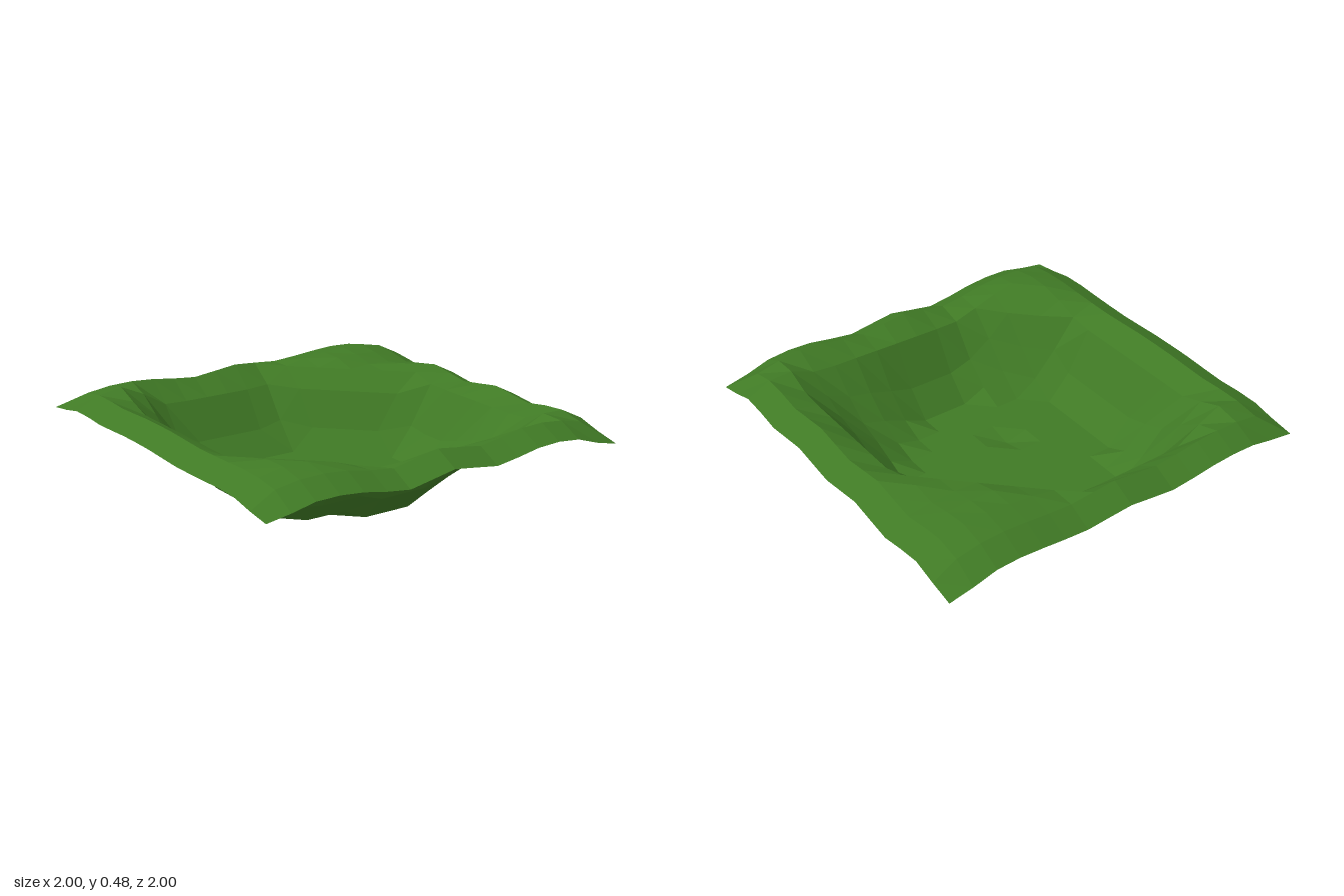
import * as THREE from 'three';

const N = 16; // cells per side

// Bowl outlines (x, z): foot of the wall and top of the wall
const FOOT = [
  [-0.5, -0.25], [-0.375, -0.375], [-0.375, -0.5], [0.125, -0.5], [0.5, -0.125], [0.5, 0.125],
  [0.375, 0.25], [0.25, 0.375], [0.125, 0.5], [-0.125, 0.5], [-0.25, 0.375], [-0.375, 0.375],
  [-0.5, 0.25],
];
const LIP = [
  [-0.75, -0.52], [-0.54, -0.78], [0.13, -0.78], [0.69, -0.22], [0.75, -0.12], [0.75, 0.6],
  [0.6, 0.75], [-0.25, 0.76], [-0.4, 0.7], [-0.7, 0.41], [-0.75, 0.32],
];

// Border heights, every 0.25 from -1 to 1, joined by a smooth curve
const border = (list) => new THREE.SplineCurve(list.map((h, i) => new THREE.Vector2(i / 4 - 1, h)));
const FRONT = border([0.35, 0.4, 0.385, 0.345, 0.39, 0.355, 0.395, 0.395, 0.32]);
const BACK = border([0.35, 0.395, 0.385, 0.355, 0.385, 0.365, 0.385, 0.395, 0.33]);
const LEFT = border([0.33, 0.395, 0.35, 0.39, 0.355, 0.39, 0.36, 0.395, 0.32]);
const RIGHT = border([0.35, 0.395, 0.385, 0.395, 0.395, 0.385, 0.39, 0.395, 0.35]);

const sample = (curve, s) => curve.getPoint((s + 1) / 2).y;

// Signed distance to a polygon, negative inside
function distance(poly, x, z) {
  let best = Infinity;
  let inside = false;
  poly.forEach(([ax, az], i) => {
    const [bx, bz] = poly[(i + 1) % poly.length];
    const dx = bx - ax, dz = bz - az;
    const t = THREE.MathUtils.clamp(((x - ax) * dx + (z - az) * dz) / (dx * dx + dz * dz), 0, 1);
    best = Math.min(best, Math.hypot(x - ax - t * dx, z - az - t * dz));
    if ((az > z) !== (bz > z) && x < ax + ((z - az) / dz) * dx) inside = !inside;
  });
  return inside ? -best : best;
}

// Rolling ground around the bowl, drooping at the borders
function rimHeight(x, z) {
  const px = Math.abs(x) ** 8, pz = Math.abs(z) ** 8;
  const w = pz / (px + pz);
  const alongX = sample(z > 0 ? FRONT : BACK, x);
  const alongZ = sample(x > 0 ? LEFT : RIGHT, z);
  const m = Math.max(Math.abs(x), Math.abs(z));
  const rise = m > 0.875 ? (1 - m) * 0.5 : 0.0625 + Math.min(0.018, (0.875 - m) * 0.144);
  return THREE.MathUtils.lerp(alongZ, alongX, w) + rise;
}

function height(x, z) {
  const foot = distance(FOOT, x, z);
  const lip = distance(LIP, x, z);
  if (foot <= 0.001) {
    const dip = Math.hypot(x + 0.125, z - 0.125) < 0.01;
    return dip ? 0 : 0.03;
  }
  if (lip < 0) {
    const t = foot / (foot - lip);
    return 0.03 + 0.36 * Math.pow(t, 1.4);
  }
  return Math.min(rimHeight(x, z), 0.39 + lip * 0.6);
}

export function createModel() {
  const group = new THREE.Group();
  group.name = 'craterTerrain';

  // Grid of vertices shaped by the height rule
  const positions = [];
  const index = [];
  for (let j = 0; j <= N; j++) {
    for (let i = 0; i <= N; i++) {
      const x = (i / N) * 2 - 1, z = (j / N) * 2 - 1;
      positions.push(x, height(x, z), z);
      if (i < N && j < N) {
        const a = j * (N + 1) + i, b = a + 1, c = a + N + 1, d = c + 1;
        index.push(a, c, d, a, d, b);
      }
    }
  }
  const indexed = new THREE.BufferGeometry();
  indexed.setAttribute('position', new THREE.Float32BufferAttribute(positions, 3));
  indexed.setIndex(index);
  const geometry = indexed.toNonIndexed();
  geometry.computeVertexNormals();

  const grass = new THREE.MeshStandardMaterial({
    color: 0x407a25, flatShading: true, side: THREE.DoubleSide,
  });
  grass.name = 'grassGreen';

  const ground = new THREE.Mesh(geometry, grass);
  ground.name = 'grassBasin';
  group.add(ground);
  return group;
}
